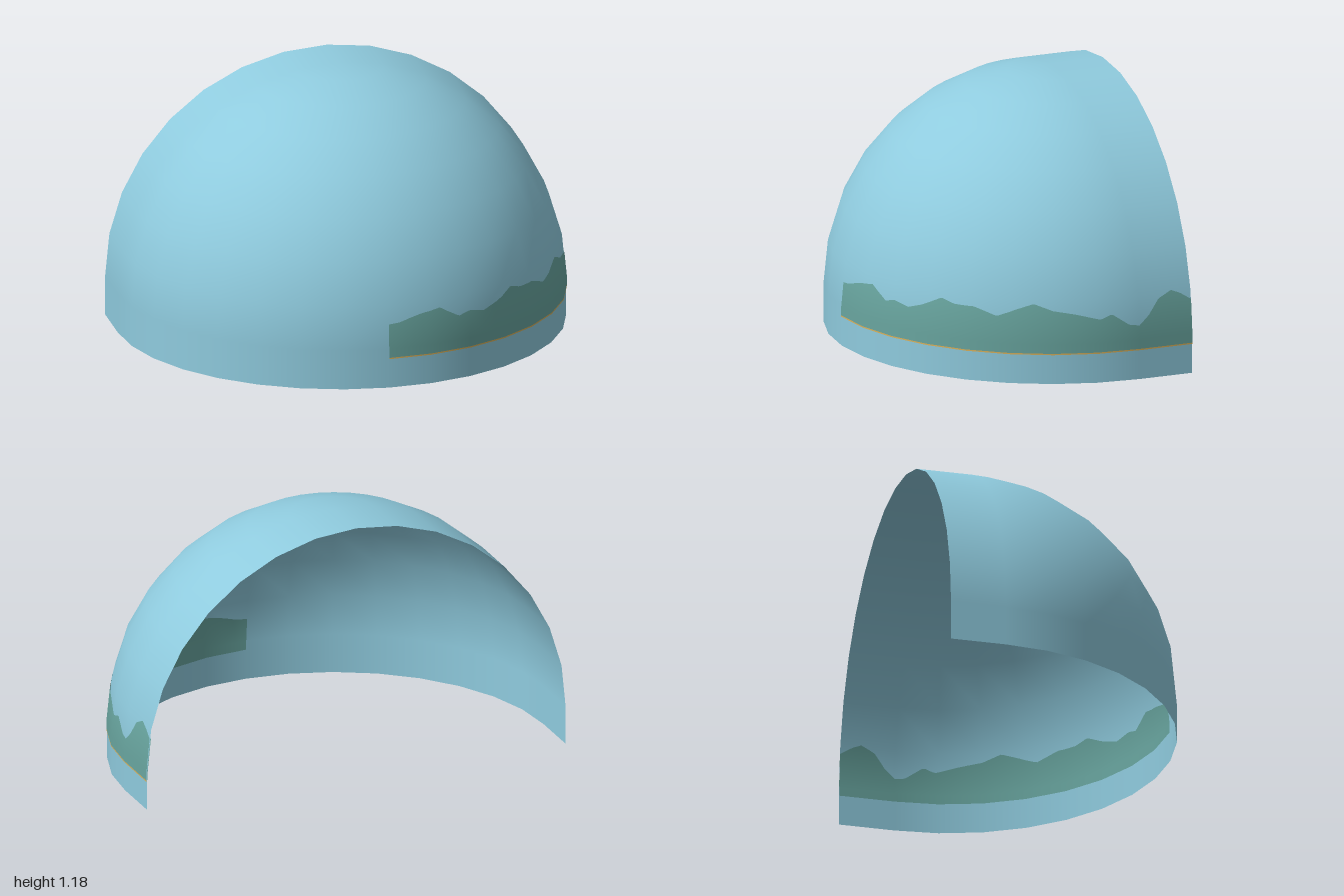
import * as THREE from 'three';

const STEP = Math.PI / 16;   // angle of one facet, around and up
const WALL = 0.18;           // height of the straight lower wall
const CENTRE_Z = -0.375;     // centre of the quarter sphere
const BACK_Z = -0.625;       // open back edge

// Ridge line of the hills: [facets from front centre, height]
const RIDGE = [
  [0, 0.29], [0.26, 0.295], [0.51, 0.31], [0.78, 0.325], [1.25, 0.34], [1.47, 0.315],
  [1.74, 0.287], [2.02, 0.303], [2.43, 0.285], [2.84, 0.31], [3.34, 0.355], [3.67, 0.335],
  [4.15, 0.335], [4.7, 0.3], [5.14, 0.333], [5.55, 0.36], [6, 0.33], [6.29, 0.32],
  [6.56, 0.31], [6.77, 0.3], [7.09, 0.285], [7.35, 0.305], [7.77, 0.25], [8, 0.245],
  [8.18, 0.285], [8.38, 0.355], [8.62, 0.385], [8.78, 0.37], [9, 0.335],
];

function ridgeHeight(s) {
  const i = Math.max(1, RIDGE.findIndex((p) => p[0] >= s));
  const [a, b] = [RIDGE[i - 1], RIDGE[i]];
  return THREE.MathUtils.lerp(a[1], b[1], (s - a[0]) / (b[0] - a[0]));
}

// Height and radius of ring t: -1 is the ground, 0 the wall top, 8 the crown
function ring(t) {
  return t < 0 ? [WALL + t * WALL, 1] : [WALL + Math.sin(t * STEP), Math.cos(t * STEP)];
}

// Plan corner k of radius r: 0 is front centre, 8 the side, 9 the back edge
function corner(k, r) {
  const a = Math.min(Math.abs(k), 8) * STEP;
  const x = Math.sign(k) * Math.sin(a) * r;
  return new THREE.Vector2(x, Math.abs(k) > 8 ? BACK_Z : CENTRE_Z + Math.cos(a) * r);
}

// Point on the faceted shell at s around and t up, with its smooth normal
function shellPoint(s, t, offset) {
  const t0 = Math.min(7, Math.floor(t));
  const [y0, r0] = ring(t0);
  const [y1, r1] = ring(t0 + 1);
  const r = THREE.MathUtils.lerp(r0, r1, t - t0);
  const k = Math.min(8, Math.floor(s));
  const plan = corner(k, r).lerp(corner(k + 1, r), s - k);
  const a = THREE.MathUtils.clamp(s, -8, 8) * STEP;
  const up = Math.max(0, t) * STEP;
  const normal = new THREE.Vector3(
    Math.sin(a) * Math.cos(up), Math.sin(up), Math.cos(a) * Math.cos(up));
  const point = new THREE.Vector3(plan.x, THREE.MathUtils.lerp(y0, y1, t - t0), plan.y);
  return { point: point.addScaledVector(normal, offset), normal };
}

// Ring number at a given height, straight between rings
function ringAt(y) {
  if (y < WALL) return y / WALL - 1;
  let t = 0;
  while (ring(t + 1)[0] < y) t++;
  const y0 = ring(t)[0];
  return t + (y - y0) / (ring(t + 1)[0] - y0);
}

// Patch of shell: columns around, rowsFor(s) gives the rings of each column
function patch(name, material, columns, rowsFor, offset = 0) {
  const positions = [], normals = [], index = [];
  const n = rowsFor(columns[0]).length;
  columns.forEach((s, i) => rowsFor(s).forEach((t, j) => {
    const { point, normal } = shellPoint(s, t, offset);
    positions.push(...point.toArray());
    normals.push(...normal.toArray());
    if (i + 1 < columns.length && j + 1 < n) {
      const a = i * n + j, b = a + n;
      index.push(a, b, b + 1, a, b + 1, a + 1);
    }
  }));
  const geometry = new THREE.BufferGeometry();
  geometry.setAttribute('position', new THREE.Float32BufferAttribute(positions, 3));
  geometry.setAttribute('normal', new THREE.Float32BufferAttribute(normals, 3));
  geometry.setIndex(index);
  const mesh = new THREE.Mesh(geometry, material);
  mesh.name = name;
  return mesh;
}

const range = (from, to, step) =>
  Array.from({ length: Math.round((to - from) / step) + 1 }, (_, i) => from + i * step);

export function createModel() {
  const sheet = (name, color) => {
    const material = new THREE.MeshStandardMaterial({ color, side: THREE.DoubleSide });
    material.name = name;
    return material;
  };
  const sky = sheet('skyBlue', 0x8fcbde);
  const green = sheet('hillGreen', 0x69a6a0);
  const yellow = sheet('horizonYellow', 0xd9b25c);

  const model = new THREE.Group();
  model.name = 'skyDome';

  // Open quarter dome with straight lower wall and short straight back section
  const domeRows = range(-1, 8, 1);
  model.add(patch('domeShell', sky, range(-9, 9, 1), () => domeRows));

  // Hill silhouettes on the left half, painted outside and inside
  const columns = range(0, 9, 0.0625);
  const hillRows = (s) => {
    const top = ringAt(ridgeHeight(s));
    return [ringAt(0.139), 0, Math.min(1, top), top];
  };
  model.add(patch('hillsOutside', green, columns, hillRows, 0.003));
  model.add(patch('hillsInside', green, columns, hillRows, -0.003));

  // Fine horizon line under the outer hills
  const lineRows = [ringAt(0.133), ringAt(0.139)];
  model.add(patch('horizonLine', yellow, range(0, 9, 1), () => lineRows, 0.003));

  return model;
}
